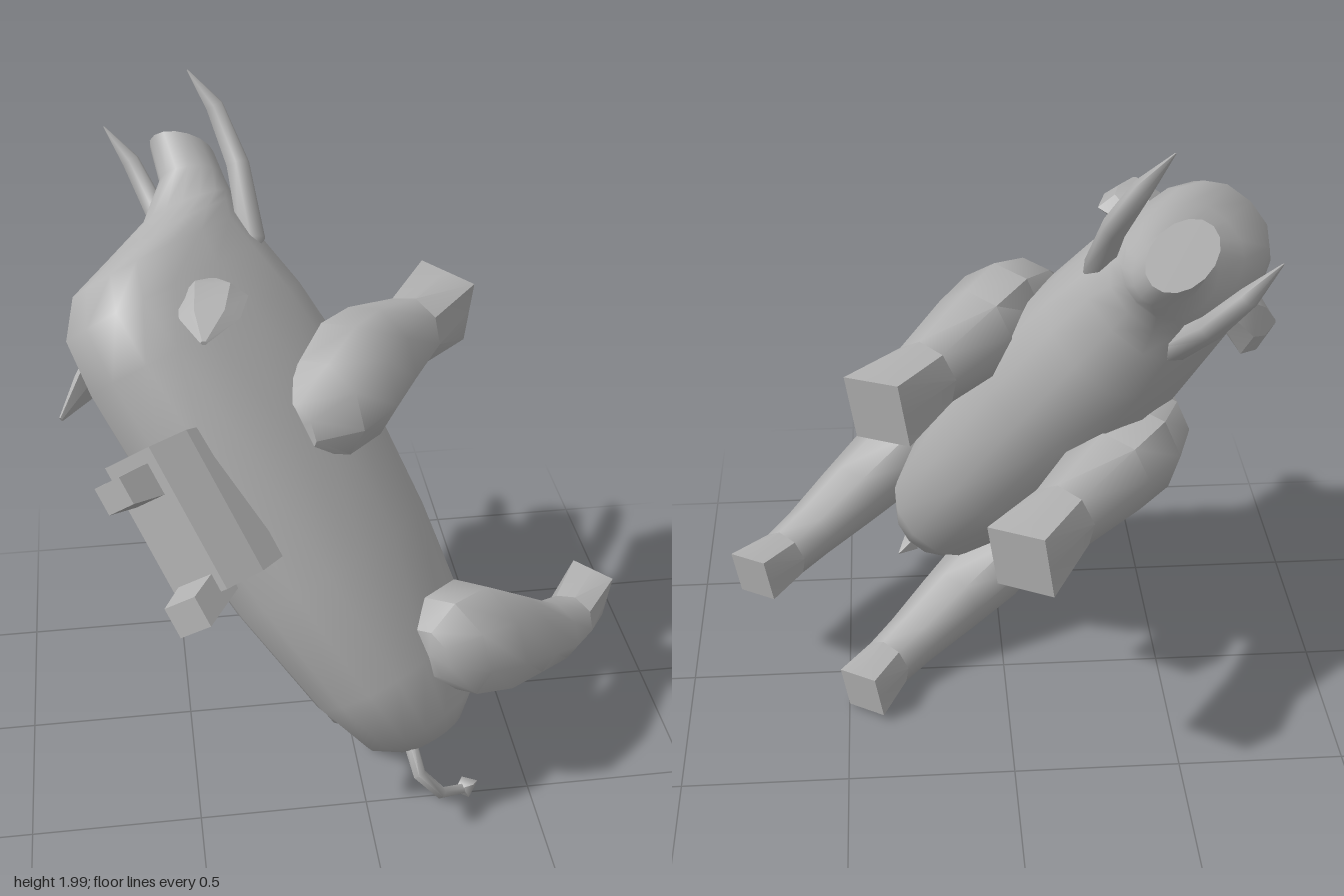
import * as THREE from 'three';
import { mergeVertices, toCreasedNormals } from 'three/addons/utils/BufferGeometryUtils.js';

const V = (x, y, z) => new THREE.Vector3(x, y, z);

// Skin a list of rings (equal point counts) and close both ends; faces always point outward.
function loft(rings, crease = 0.9) {
  const n = rings[0].length, pos = [];
  const tri = (a, b, c) => pos.push([a, b, c]);
  for (let i = 0; i < rings.length - 1; i++) {
    for (let j = 0; j < n; j++) {
      const k = (j + 1) % n, p = rings[i], q = rings[i + 1];
      tri(p[j], p[k], q[k]);
      tri(p[j], q[k], q[j]);
    }
  }
  const cap = (ring, flip) => {
    const mid = ring.reduce((m, p) => m.add(p), V(0, 0, 0)).divideScalar(n);
    for (let j = 0; j < n; j++) {
      const k = (j + 1) % n;
      if (flip) tri(mid, ring[k], ring[j]); else tri(mid, ring[j], ring[k]);
    }
  };
  cap(rings[0], true);
  cap(rings[rings.length - 1], false);
  // signed volume decides the corner order
  const vol = pos.reduce((s, [a, b, c]) => s + a.dot(V(0, 0, 0).crossVectors(b, c)), 0);
  const flat = [];
  for (const [a, b, c] of pos) {
    for (const p of vol > 0 ? [a, b, c] : [a, c, b]) flat.push(p.x, p.y, p.z);
  }
  const g = new THREE.BufferGeometry();
  g.setAttribute('position', new THREE.Float32BufferAttribute(flat, 3));
  return toCreasedNormals(mergeVertices(g), crease);
}

// Superellipse ring: centre, two half-axis vectors, power (1 = diamond, 2 = round, higher = boxier)
function ring(c, u, v, n, power = 2) {
  const pts = [], e = 2 / power;
  const f = t => Math.sign(t) * Math.pow(Math.abs(t), e);
  for (let i = 0; i < n; i++) {
    const t = (i / n) * Math.PI * 2;
    pts.push(c.clone().addScaledVector(u, f(Math.cos(t))).addScaledVector(v, f(Math.sin(t))));
  }
  return pts;
}

// Tapered tube through a few points, given with a radius at each point
function horn(points, n = 6) {
  const p = points.map(q => V(q[0], q[1], q[2]));
  return loft(p.map((c, i) => {
    const d = p[Math.min(i + 1, p.length - 1)].clone().sub(p[Math.max(i - 1, 0)]).normalize();
    const u = V(0, 1, 0).cross(d).normalize();
    const v = d.clone().cross(u);
    return ring(c, u.multiplyScalar(points[i][3]), v.multiplyScalar(points[i][3]), n);
  }), 1.2);
}

// Box-like slab: [y, half width, z min, z max] per level
const slab = levels => loft(levels.map(([y, w, z0, z1]) =>
  [V(-w, y, z0), V(w, y, z0), V(w, y, z1), V(-w, y, z1)]), 0.3);

export function createModel() {
  const model = new THREE.Group();
  model.name = 'tuskedAnimal';
  const animal = new THREE.Group();
  animal.name = 'rearingAnimal';
  model.add(animal);
  const grey = new THREE.MeshStandardMaterial({ color: 0xb2b2b2 });
  grey.name = 'grey';
  const add = (name, geometry) => {
    const m = new THREE.Mesh(geometry, grey);
    m.name = name;
    animal.add(m);
  };

  // Body and head, rump to snout: [z, top, bottom, half width, lean, power]
  const body = [
    [-0.9, 0.16, -0.07, 0.1, 0, 2], [-0.84, 0.25, -0.17, 0.16, 0, 2.1],
    [-0.66, 0.33, -0.27, 0.215, 0, 2.2], [-0.3, 0.42, -0.31, 0.25, 0, 2.3],
    [0.15, 0.49, -0.33, 0.265, 0, 2.4], [0.45, 0.51, -0.29, 0.235, 0, 2.7],
    [0.61, 0.5, -0.25, 0.205, 0, 2.9], [0.71, 0.42, -0.26, 0.175, 0, 2.5],
    [0.765, 0.22, -0.27, 0.15, 0, 2.3], [0.8, 0.03, -0.28, 0.125, 0.02, 2.1],
    [0.87, -0.12, -0.3, 0.09, 0.05, 2], [0.965, -0.155, -0.32, 0.08, 0.07, 2],
  ];
  add('bodyAndHead', loft(body.map(([z, top, bottom, w, lean, power]) =>
    ring(V(0, (top + bottom) / 2, z), V(w, 0, 0), V(0, (top - bottom) / 2, lean), 16, power)), 1.1));

  // Tail with a pointed tuft
  add('tail', horn([[0, 0.13, -0.84, 0.022], [0, 0.175, -0.97, 0.02],
    [0, 0.13, -1.06, 0.018], [0, 0.04, -1.1, 0.016]]));
  add('tailTuft', horn([[0, 0.05, -1.095, 0.014], [0, 0.02, -1.105, 0.032], [0, -0.04, -1.12, 0.002]], 4));

  // Leg profiles from hip to ankle: [y, x, z, half width x, half width z]
  const legs = {
    front: [[0.19, 0.23, 0.1, 0.05, 0.08], [0.09, 0.27, 0.11, 0.12, 0.15], [-0.06, 0.285, 0.14, 0.145, 0.18],
      [-0.22, 0.28, 0.16, 0.135, 0.16], [-0.45, 0.275, 0.165, 0.105, 0.11]],
    rear: [[0.13, 0.21, -0.65, 0.06, 0.08], [0.05, 0.23, -0.67, 0.12, 0.16], [-0.1, 0.24, -0.71, 0.13, 0.185],
      [-0.27, 0.24, -0.79, 0.11, 0.14], [-0.42, 0.24, -0.86, 0.09, 0.1], [-0.53, 0.24, -0.875, 0.083, 0.083]],
  };
  // Soles: [y, x, z, half diagonal x, half diagonal z]
  const soles = { front: [-0.685, 0.28, 0.19, 0.13, 0.14], rear: [-0.695, 0.25, -0.845, 0.098, 0.1] };
  for (const side of [-1, 1]) {
    const label = side < 0 ? 'Near' : 'Far';
    const section = ([y, x, z, rx, rz], power) =>
      ring(V(side * x, y, z), V(rx, 0, 0), V(0, 0, rz), 8, power);
    for (const kind of ['front', 'rear']) {
      const path = legs[kind];
      add(kind + 'Leg' + label, loft(path.map(p => section(p, 2)), 0.9));
      // Foot flaring to a square sole with its corners fore, aft and sideways
      add(kind + 'Foot' + label, loft([section(path[path.length - 1], 2), section(soles[kind], 1)], 0.5));
    }
    // Curved tusk
    add('tusk' + label, horn([[side * 0.1, -0.11, 0.57, 0.03], [side * 0.15, -0.14, 0.63, 0.042],
      [side * 0.18, -0.21, 0.84, 0.036], [side * 0.19, -0.23, 1.02, 0.028], [side * 0.19, -0.195, 1.145, 0.002]]));
    // Flat pointed ear, swept back
    const wide = V(side * 0.65, -0.55, -0.45), thin = V(side * 0.6, 0.1, 0.79);
    const ear = [[0.18, 0.19, 0.56, 0.06, 0.035], [0.23, 0.24, 0.53, 0.1, 0.045],
      [0.265, 0.34, 0.48, 0.085, 0.03], [0.3, 0.45, 0.43, 0.01, 0.006]];
    add('ear' + label, loft(ear.map(([x, ey, ez, w, t]) =>
      ring(V(side * x, ey, ez), wide.clone().multiplyScalar(w), thin.clone().multiplyScalar(t), 6)), 0.5));
  }

  // Saddle: tapered seat with a pommel and a cantle
  add('saddleSeat', slab([[0.4, 0.14, -0.18, 0.23], [0.49, 0.135, -0.18, 0.25], [0.6, 0.09, -0.17, 0.26]]));
  add('saddlePommel', slab([[0.56, 0.06, 0.12, 0.22], [0.71, 0.05, 0.15, 0.23]]));
  add('saddleCantle', slab([[0.54, 0.07, -0.19, -0.1], [0.69, 0.06, -0.23, -0.14]]));

  // Rearing pose: the spine climbs and the legs reach out to the rear side
  const spine = V(-0.417, 0.802, -0.431).normalize();
  const across = V(-0.621, 0.096, 0.778).cross(spine).normalize();
  const up = spine.clone().cross(across);
  animal.quaternion.setFromRotationMatrix(new THREE.Matrix4().makeBasis(across, up, spine));
  animal.position.set(-0.16, 0.99, 0.085);
  return model;
}
